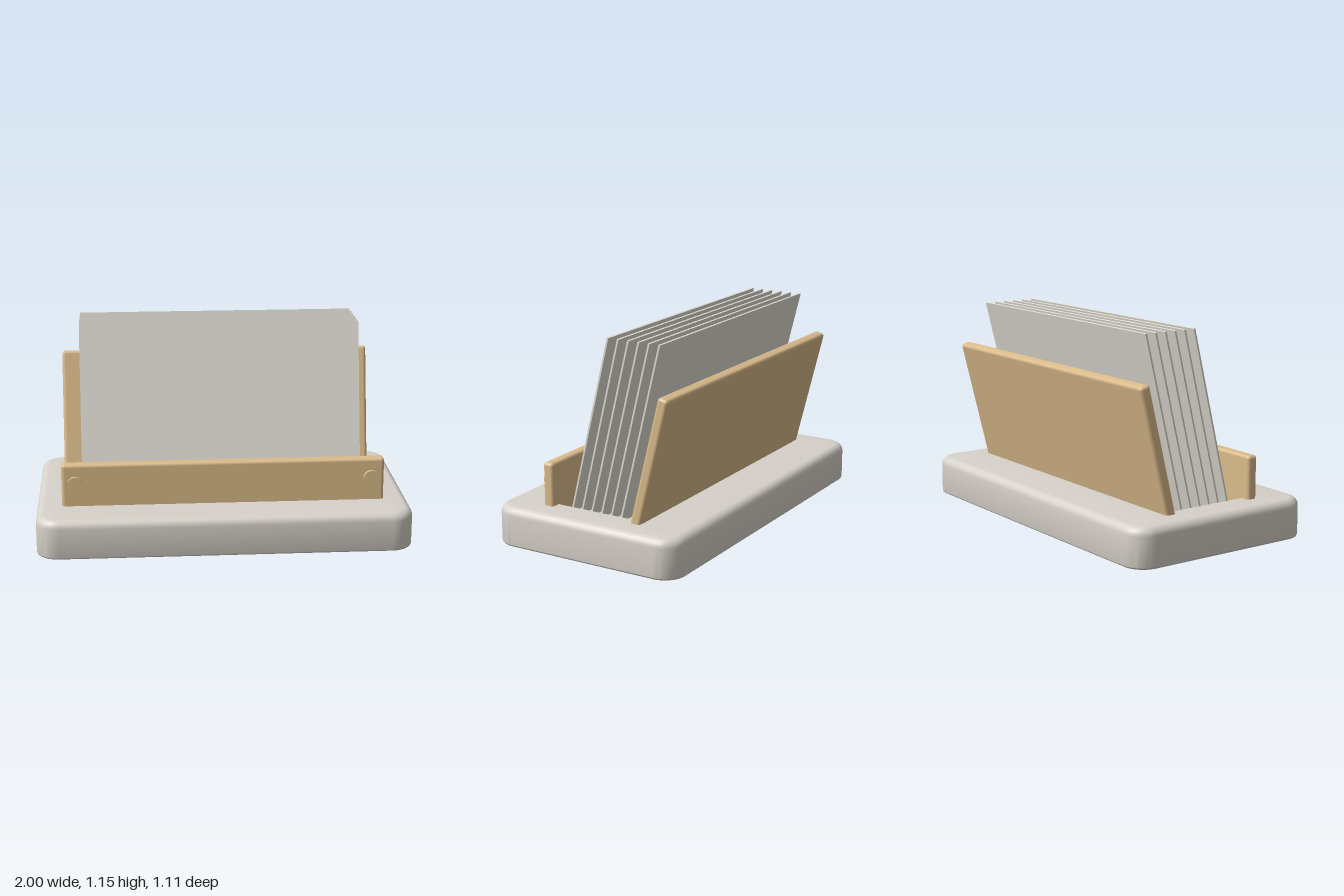
import * as THREE from 'three';
import { toCreasedNormals } from 'three/addons/utils/BufferGeometryUtils.js';
import { RoundedBoxGeometry } from 'three/addons/geometries/RoundedBoxGeometry.js';

const TILT = THREE.MathUtils.degToRad(14);
const CORNER_STEPS = 10;

// One rounded-rectangle outline at height y; r = 0 and no size collapses it to a point
function ring({ w, d, r, y, z = 0 }) {
  const points = [];
  for (let q = 0; q < 4; q++) {
    const sx = q === 0 || q === 3 ? 1 : -1;
    const sz = q < 2 ? 1 : -1;
    for (let i = 0; i <= CORNER_STEPS; i++) {
      const a = (q + i / CORNER_STEPS) * Math.PI / 2;
      points.push([sx * (w - r) + r * Math.cos(a), y, z + sz * (d - r) + r * Math.sin(a)]);
    }
  }
  return points;
}

// Skin a stack of outlines, listed from the bottom centre outward and up
function loft(sections) {
  const rings = sections.map(ring);
  const n = rings[0].length;
  const index = [];
  for (let k = 0; k < rings.length - 1; k++) {
    for (let i = 0; i < n; i++) {
      const a = k * n + i, b = k * n + (i + 1) % n;
      index.push(a, a + n, b, b, a + n, b + n);
    }
  }
  const geometry = new THREE.BufferGeometry();
  geometry.setAttribute('position', new THREE.Float32BufferAttribute(rings.flat(2), 3));
  geometry.setIndex(index);
  return toCreasedNormals(geometry, 0.55);
}

// Quarter-round edge: the outline pulled in by a radius e, toward the top or the bottom
function roundedEdge(w, d, r, y, e, top) {
  const sections = [];
  for (let i = 0; i <= 6; i++) {
    const a = (top ? i : 6 - i) / 6 * Math.PI / 2;
    const inset = e * (1 - Math.cos(a));
    const lift = e * (1 - Math.sin(a));
    sections.push({ w: w - inset, d: d - inset, r: r - inset, y: top ? y - lift : y + lift });
  }
  return sections;
}

export function createModel() {
  const stone = new THREE.MeshStandardMaterial({ name: 'warm grey base', color: 0xd6d1c9 });
  const wood = new THREE.MeshStandardMaterial({ name: 'light wood', color: 0xdabb8a });
  const paper = new THREE.MeshStandardMaterial({ name: 'card paper', color: 0xe0ddd3 });
  const rubber = new THREE.MeshStandardMaterial({ name: 'black rubber', color: 0x202020 });

  const group = new THREE.Group();
  group.name = 'cardHolder';
  const add = (name, geometry, material, x, y, z, tilt = 0) => {
    const mesh = new THREE.Mesh(geometry, material);
    mesh.name = name;
    mesh.position.set(x, y, z);
    mesh.rotation.x = tilt;
    group.add(mesh);
    return mesh;
  };

  // Base block with soft edges and a shallow tray sunk into the top
  const tray = { w: 0.815, d: 0.23, r: 0.01, z: 0.04 };
  add('base', loft([
    { w: 0, d: 0, r: 0, y: 0.03 },
    ...roundedEdge(1, 0.553, 0.12, 0.03, 0.015, false),
    ...roundedEdge(1, 0.553, 0.12, 0.243, 0.045, true),
    { ...tray, y: 0.243 },
    { ...tray, y: 0.19 },
    { w: 0, d: 0, r: 0, y: 0.19, z: tray.z },
  ]), stone, 0, 0, 0);

  // Non-slip pad underneath
  add('footPad', loft([
    { w: 0, d: 0, r: 0, y: 0 },
    ...roundedEdge(0.912, 0.465, 0.09, 0, 0.006, false),
    { w: 0.912, d: 0.465, r: 0.09, y: 0.032 },
    { w: 0, d: 0, r: 0, y: 0.032 },
  ]), rubber, 0, 0, 0);

  // Upright front rail and its two round pegs
  add('frontRail', new RoundedBoxGeometry(1.73, 0.295, 0.06, 4, 0.018), wood, 0, 0.3275, 0.289);
  const peg = new THREE.CylinderGeometry(0.039, 0.039, 0.03, 32);
  for (const side of [-1, 1]) {
    add(side > 0 ? 'leftPeg' : 'rightPeg', peg, wood, side * 0.793, 0.37, 0.323, Math.PI / 2);
  }

  // Back board leaning away
  add('backBoard', new RoundedBoxGeometry(1.73, 0.756, 0.06, 4, 0.018), wood, 0, 0.547, -0.319, -TILT);

  // Row of leaning cards
  const card = new THREE.BoxGeometry(1.515, 0.99, 0.01);
  for (let i = 0; i < 6; i++) {
    add('card' + (i + 1), card, paper, 0, 0.671, 0.097 - i * 0.0607, -TILT);
  }

  return group;
}
